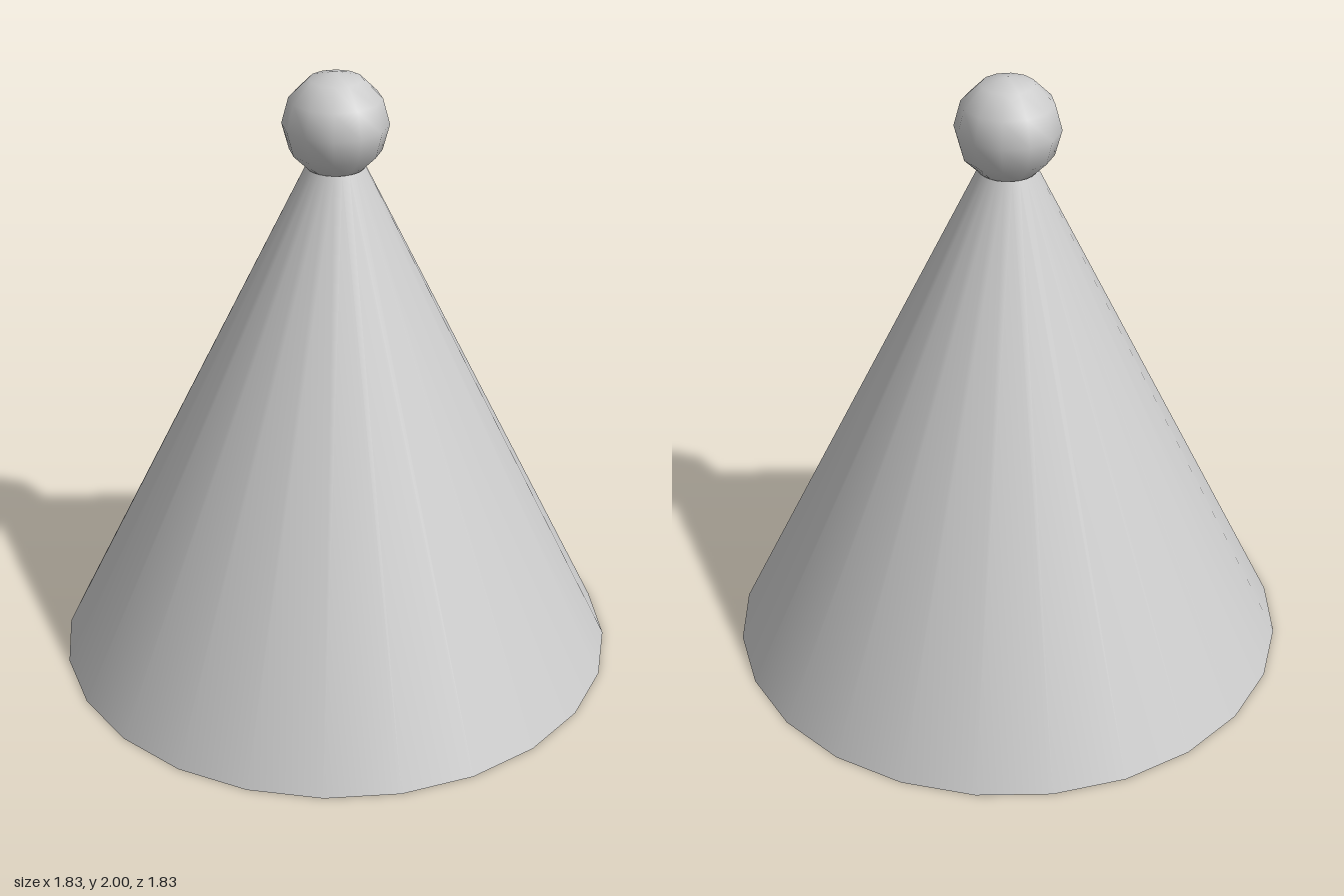
import * as THREE from 'three';

export function createModel() {
  const group = new THREE.Group();
  const material = new THREE.MeshStandardMaterial({ color: 0xcccccc, side: THREE.DoubleSide });

  const addPart = (name, geometry, y) => {
    const mesh = new THREE.Mesh(geometry, material);
    mesh.name = name;
    mesh.position.y = y;
    group.add(mesh);
  };

  const baseRadius = 0.915, topRadius = 0.0915, coneHeight = 1.7, ballRadius = 0.165;

  // Hollow cone, open at the bottom
  addPart('cone', new THREE.CylinderGeometry(topRadius, baseRadius, coneHeight, 24, 1, true), coneHeight / 2);

  // Ball seated on the tip
  addPart('ball', new THREE.SphereGeometry(ballRadius, 12, 6), 2 - ballRadius);

  return group;
}
